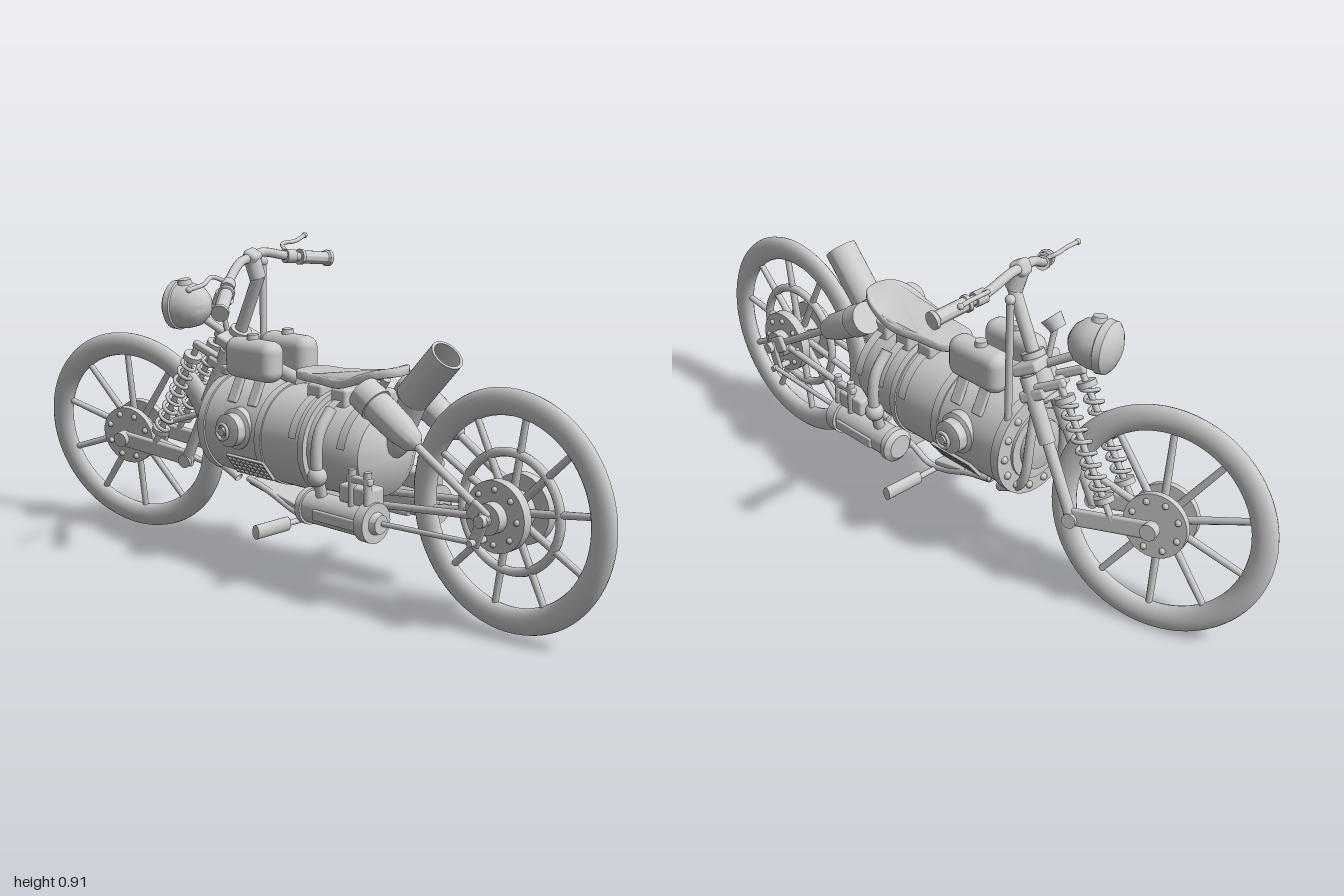
import * as THREE from 'three';
import { toCreasedNormals } from 'three/addons/utils/BufferGeometryUtils.js';
import { RoundedBoxGeometry } from 'three/addons/geometries/RoundedBoxGeometry.js';

const material = new THREE.MeshStandardMaterial({ color: 0xcccccc, side: THREE.DoubleSide });
const V = (x, y, z) => new THREE.Vector3(x, y, z);
const UP = V(0, 1, 0);
const SIDES = [1, -1];

function add(parent, name, geo, x = 0, y = 0, z = 0) {
  const m = new THREE.Mesh(geo, material);
  m.name = name;
  m.position.set(x, y, z);
  parent.add(m);
  return m;
}
function group(parent, name, x = 0, y = 0, z = 0) {
  const g = new THREE.Group();
  g.name = name;
  g.position.set(x, y, z);
  parent.add(g);
  return g;
}
// Straight round bar from a to b
function rod(parent, name, a, b, r, r2 = r, n = 16) {
  const m = add(parent, name, new THREE.CylinderGeometry(r2, r, a.distanceTo(b), n));
  m.position.copy(a).lerp(b, 0.5);
  m.quaternion.setFromUnitVectors(UP, b.clone().sub(a).normalize());
  return m;
}
// Turned part: profile of [radius, distance] running from a towards b
function turned(parent, name, profile, a, b, n = 32) {
  const geo = new THREE.LatheGeometry(profile.map(p => new THREE.Vector2(...p)), n);
  const m = add(parent, name, toCreasedNormals(geo, 0.6), a.x, a.y, a.z);
  m.quaternion.setFromUnitVectors(UP, b.clone().sub(a).normalize());
  return m;
}
const tube = (parent, name, pts, r, seg = 32) =>
  add(parent, name, new THREE.TubeGeometry(new THREE.CatmullRomCurve3(pts), seg, r, 12));
const box = (parent, name, w, h, d, x, y, z, r = 0.008) =>
  add(parent, name, new RoundedBoxGeometry(w, h, d, 3, r), x, y, z);
// Disc whose axis runs along z
const disc = (parent, name, r, w, x, y, z) =>
  add(parent, name, new THREE.CylinderGeometry(r, r, w, 32).rotateX(Math.PI / 2), x, y, z);

function bolts(parent, count, ring, z, r = 0.008) {
  for (let i = 0; i < count; i++) {
    const a = (i / count) * Math.PI * 2;
    add(parent, 'bolt', new THREE.SphereGeometry(r, 8, 6), Math.cos(a) * ring, Math.sin(a) * ring, z);
  }
}

function wheel(parent, name, x, y, z, R) {
  const g = group(parent, name, x, y, z);
  add(g, 'tyre', new THREE.TorusGeometry(R - 0.035, 0.035, 16, 72).scale(1, 1, 0.62));
  disc(g, 'hub', 0.05, 0.08, 0, 0, 0);
  for (let i = 0; i < 10; i++) {
    const a = (i / 10) * Math.PI * 2 + 0.15, c = Math.cos(a), s = Math.sin(a);
    rod(g, 'spoke', V(c * 0.04, s * 0.04, 0), V(c * (R - 0.06), s * (R - 0.06), 0), 0.011, 0.009, 10);
  }
  return g;
}

function rearEnd(bike) {
  const w = wheel(bike, 'rearWheel', 0.687, 0.323, 0, 0.313);
  add(w, 'innerRing', new THREE.TorusGeometry(0.152, 0.012, 10, 56));
  for (const s of SIDES) {
    disc(w, 'drum', 0.092, 0.028, 0, 0, s * 0.05);
    disc(w, 'axleBoss', 0.04, 0.03, 0, 0, s * 0.08);
    disc(w, 'axleCap', 0.016, 0.03, 0, 0, s * 0.112);
    bolts(w, 8, 0.07, s * 0.066);
    const crank = box(w, 'crank', 0.035, 0.09, 0.01, -0.012, -0.028, s * 0.108);
    crank.rotation.z = -0.4;
    rod(w, 'crankPin', V(-0.025, -0.06, s * 0.07), V(-0.025, -0.06, s * 0.13), 0.009);
    // Upper strut: tapered pod and slim rod down to the axle
    const top = V(0.27, 0.575, s * 0.085), axle = V(0.687, 0.323, s * 0.085);
    turned(bike, 'strutPod', [[0, 0], [0.03, 0], [0.04, 0.015], [0.043, 0.08], [0.04, 0.15], [0.03, 0.195], [0.014, 0.215], [0, 0.22]], top, axle);
    turned(bike, 'strutCollar', [[0, -0.005], [0.046, -0.005], [0.047, 0.05], [0.04, 0.05]], top, axle);
    rod(bike, 'strutRod', top.clone().lerp(axle, 0.4), axle, 0.011);
    box(bike, 'strutEnd', 0.06, 0.05, 0.016, 0.665, 0.335, s * 0.1).rotation.z = -0.54;
    rod(bike, 'connectingRod', V(0.34, 0.25, s * 0.12), V(0.662, 0.265, s * 0.12), 0.007);
    rod(bike, 'lowerStay', V(0.2, 0.27, s * 0.07), V(0.687, 0.323, s * 0.07), 0.01);
  }
  // Exhaust stack
  tube(bike, 'exhaustElbow', [V(0.22, 0.42, 0), V(0.3, 0.43, 0), V(0.335, 0.5, 0), V(0.38, 0.59, 0)], 0.038);
  turned(bike, 'exhaustStack', [[0, 0], [0.046, 0], [0.046, 0.17], [0.038, 0.17], [0.038, 0.03], [0, 0.03]], V(0.36, 0.565, 0), V(0.47, 0.685, 0));
}

function boiler(bike) {
  turned(bike, 'boiler', [[0, 0], [0.1, 0], [0.1, 0.008], [0.148, 0.008], [0.148, 0.035], [0.143, 0.035], [0.143, 0.24],
    [0.147, 0.24], [0.147, 0.265], [0.143, 0.265], [0.143, 0.41], [0.148, 0.41], [0.148, 0.43], [0.132, 0.43],
    [0.13, 0.56], [0.115, 0.6], [0.07, 0.63], [0, 0.64]], V(-0.325, 0.4, 0), V(1, 0.4, 0), 48);
  const plate = group(bike, 'frontPlateBolts', -0.317, 0.4, 0);
  plate.rotation.y = -Math.PI / 2;
  bolts(plate, 14, 0.124, 0, 0.011);
  turned(bike, 'fireDoor', [[0, -0.02], [0.03, -0.02], [0.07, -0.01], [0.075, 0.01]], V(-0.325, 0.4, 0), V(1, 0.4, 0));
  for (const x of [0.06, 0.15, 0.24]) {
    const band = add(bike, 'boilerBand', new THREE.CylinderGeometry(0.147, 0.147, 0.028, 40, 1, true, 0.2, 2.74), x, 0.4, 0);
    band.rotation.z = Math.PI / 2;
    band.rotation.order = 'YXZ';
    box(bike, 'seatMount', 0.055, 0.06, 0.12, x, 0.535, 0);
  }
  for (const s of SIDES) {
    // Side valve with hand wheel
    const side = V(-0.16, 0.42, s);
    turned(bike, 'sideValve', [[0.058, 0], [0.058, 0.03], [0.046, 0.035], [0.046, 0.062], [0.025, 0.068], [0.012, 0.068], [0.012, 0.085], [0, 0.085]],
      V(-0.16, 0.42, s * 0.115), V(-0.16, 0.42, s));
    add(bike, 'valveHandWheel', new THREE.TorusGeometry(0.022, 0.005, 8, 24), side.x, side.y, s * 0.195);
    box(bike, 'valveHandle', 0.045, 0.008, 0.008, side.x, side.y, s * 0.195, 0.003);
    // Grille following the lower flank
    const grille = group(bike, 'grille', -0.13, 0.312, s * 0.118);
    grille.rotation.x = s * 0.66;
    for (let i = 0; i < 9; i++) box(grille, 'grilleBar', 0.006, 0.072, 0.01, (i - 4) * 0.018, 0, 0, 0.002);
    for (let i = 0; i < 5; i++) box(grille, 'grilleSlat', 0.15, 0.006, 0.01, 0, (i - 2) * 0.0165, 0, 0.002);
    // Saddle tank with straps
    box(bike, 'saddleTank', 0.19, 0.115, 0.075, -0.165, 0.605, s * 0.067, 0.032);
    for (const x of [-0.205, -0.125]) {
      box(bike, 'tankStrap', 0.035, 0.08, 0.012, x, 0.52, s * 0.098, 0.004).rotation.x = -s * 0.45;
    }
    add(bike, 'fillerCap', new THREE.CylinderGeometry(0.016, 0.018, 0.016, 20), -0.17, 0.667, s * 0.067);
  }
  // Whistle pipe
  rod(bike, 'whistlePipe', V(-0.3, 0.5, -0.095), V(-0.3, 0.85, -0.095), 0.01);
  add(bike, 'whistleCap', new THREE.SphereGeometry(0.014, 16, 10), -0.3, 0.852, -0.095);
}

function engine(bike) {
  const axis = s => [V(0.09, 0.25, s * 0.125), V(1, 0.25, s * 0.125)];
  for (const s of SIDES) {
    turned(bike, 'steamCylinder', [[0, 0], [0.035, 0], [0.05, 0.012], [0.05, 0.03], [0.044, 0.03], [0.044, 0.23], [0.054, 0.23],
      [0.054, 0.262], [0.03, 0.262], [0.025, 0.28], [0, 0.28]], ...axis(s));
    box(bike, 'cylinderLug', 0.15, 0.03, 0.012, 0.24, 0.245, s * 0.168, 0.004);
    box(bike, 'valveChest', 0.11, 0.05, 0.06, 0.29, 0.315, s * 0.115);
    for (const x of [0.28, 0.335]) rod(bike, 'valvePost', V(x, 0.25, s * 0.14), V(x, 0.385, s * 0.14), 0.011);
    box(bike, 'valveYoke', 0.085, 0.02, 0.02, 0.307, 0.36, s * 0.14, 0.006);
    // Steam feed from the boiler to its cylinder
    tube(bike, 'steamPipe', [V(0.165, 0.52, s * 0.1), V(0.165, 0.46, s * 0.145), V(0.165, 0.38, s * 0.155), V(0.165, 0.27, s * 0.13)], 0.016);
    add(bike, 'steamTrap', new THREE.SphereGeometry(0.027, 20, 14), 0.165, 0.345, s * 0.152);
    // Foot rest and belly rails
    rod(bike, 'footRestArm', V(0.02, 0.18, 0), V(0.02, 0.18, s * 0.13), 0.008);
    rod(bike, 'footRest', V(0.02, 0.18, s * 0.12), V(0.02, 0.18, s * 0.24), 0.02).scale.x = 0.65;
    tube(bike, 'bellyRail', [V(-0.2, 0.255, s * 0.06), V(-0.12, 0.235, s * 0.06), V(-0.02, 0.195, s * 0.055), V(0.05, 0.185, s * 0.055), V(0.12, 0.22, s * 0.06), V(0.3, 0.23, s * 0.06)], 0.009);
  }
  box(bike, 'bellyPlate', 0.22, 0.016, 0.12, -0.09, 0.225, 0, 0.004).rotation.z = -0.2;
  box(bike, 'crossMember', 0.05, 0.055, 0.12, 0.16, 0.215, 0);
}

function seat(bike) {
  // Plan outline widening to the rear, then bent up at the tail
  const s = new THREE.Shape();
  s.moveTo(-0.03, 0);
  s.bezierCurveTo(-0.03, 0.07, 0.02, 0.055, 0.08, 0.063);
  s.bezierCurveTo(0.19, 0.09, 0.32, 0.09, 0.32, 0);
  s.bezierCurveTo(0.32, -0.09, 0.19, -0.09, 0.08, -0.063);
  s.bezierCurveTo(0.02, -0.055, -0.03, -0.07, -0.03, 0);
  const geo = new THREE.ExtrudeGeometry(s, { depth: 0.012, bevelThickness: 0.006, bevelSize: 0.005, bevelSegments: 3, curveSegments: 20 });
  geo.rotateX(-Math.PI / 2);
  const p = geo.attributes.position;
  for (let i = 0; i < p.count; i++) {
    const t = Math.max(0, (p.getX(i) - 0.15) / 0.17);
    p.setY(i, p.getY(i) + 0.045 * t * t * (3 - 2 * t));
  }
  add(bike, 'seat', toCreasedNormals(geo, 0.7), 0, 0.575, 0);
  rod(bike, 'seatStay', V(0.2, 0.5, 0), V(0.27, 0.6, 0), 0.012);
}

// Local y runs up the steering axis, -x points ahead
function steering(bike) {
  const g = group(bike, 'steering', -0.35, 0.55, 0);
  g.rotation.set(0, 0.31, -0.47, 'ZYX');
  const w = wheel(g, 'frontWheel', -0.212, -0.366, 0, 0.311);
  for (const s of SIDES) {
    disc(w, 'hubCover', 0.088, 0.02, 0, 0, s * 0.035);
    bolts(w, 8, 0.068, s * 0.046, 0.009);
    disc(w, 'axleCap', 0.022, 0.03, 0, 0, s * 0.075);
    rod(g, 'forkLeg', V(0.005, -0.32, s * 0.065), V(0.005, 0.1, s * 0.05), 0.016);
    rod(g, 'forkSleeve', V(0.005, -0.1, s * 0.06), V(0.005, 0.08, s * 0.052), 0.022);
    const link = box(g, 'leadingLink', 0.26, 0.05, 0.016, -0.1, -0.335, s * 0.065);
    link.rotation.z = 0.3;
    disc(g, 'linkPivot', 0.02, 0.03, 0.005, -0.31, s * 0.068);
    // Coil spring over its damper
    rod(g, 'damper', V(-0.11, -0.33, s * 0.065), V(-0.085, 0.05, s * 0.06), 0.009);
    const coil = [];
    for (let i = 0; i <= 96; i++) {
      const a = (i / 96) * Math.PI * 16, t = i / 96;
      coil.push(V(-0.107 + 0.018 * t + 0.021 * Math.cos(a), -0.26 + 0.26 * t, s * 0.063 + 0.021 * Math.sin(a)));
    }
    add(g, 'coilSpring', new THREE.TubeGeometry(new THREE.CatmullRomCurve3(coil), 200, 0.006, 6));
    for (const y of [-0.27, 0.005]) add(g, 'springCup', new THREE.CylinderGeometry(0.027, 0.027, 0.016, 20), -0.097 + (y < -0.1 ? -0.01 : 0.01), y, s * 0.063);
    box(g, 'springArm', 0.12, 0.025, 0.02, -0.04, 0.045, s * 0.058);
    // Grip, collar and lever
    const inner = V(0.008, 0.322, s * 0.2), outer = V(0.057, 0.315, s * 0.305);
    turned(g, 'grip', [[0, 0], [0.023, 0], [0.023, 0.01], [0.019, 0.012], [0.019, 0.1], [0.024, 0.104], [0.024, 0.115], [0, 0.115]], inner, outer);
    rod(g, 'leverClamp', V(-0.015, 0.324, s * 0.155), V(-0.001, 0.323, s * 0.185), 0.02);
    tube(g, 'lever', [V(-0.015, 0.33, s * 0.165), V(-0.05, 0.335, s * 0.19), V(-0.04, 0.335, s * 0.25), V(-0.045, 0.335, s * 0.315)], 0.006);
    add(g, 'leverBall', new THREE.SphereGeometry(0.009, 12, 8), -0.045, 0.335, s * 0.315);
  }
  tube(g, 'handlebar', [-1, -0.75, -0.3, 0, 0.3, 0.75, 1].map(t => {
    const k = Math.abs(t);
    return V(k < 0.5 ? -0.045 : k < 0.9 ? -0.018 : 0.008, k < 0.5 ? 0.347 : k < 0.9 ? 0.327 : 0.322, t * 0.2);
  }), 0.013, 48);
  box(g, 'upperYoke', 0.075, 0.03, 0.14, 0, 0.1, 0);
  box(g, 'lowerYoke', 0.075, 0.03, 0.15, 0, 0.03, 0);
  rod(g, 'riser', V(0, 0.1, 0), V(-0.005, 0.31, 0), 0.018);
  rod(g, 'riserNeck', V(-0.005, 0.3, 0), V(-0.042, 0.345, 0), 0.024);
  box(g, 'barClamp', 0.045, 0.045, 0.05, -0.043, 0.347, 0, 0.014);
  // Headlamp, held level ahead of the yokes
  const lamp = group(g, 'headlamp', -0.185, 0.11, 0.01);
  lamp.rotation.z = 0.47;
  turned(lamp, 'lampShell', [[0, -0.06], [0.035, -0.055], [0.058, -0.045], [0.07, -0.035], [0.072, -0.015], [0.067, -0.012], [0.066, 0.015],
    [0.058, 0.045], [0.04, 0.066], [0.018, 0.078], [0, 0.08]], V(0, 0, 0), V(1, 0, 0));
  add(lamp, 'lampVent', new THREE.CylinderGeometry(0.018, 0.022, 0.014, 16), 0.005, 0.07, 0);
  rod(g, 'lampBracket', V(-0.15, 0.1, 0), V(0, 0.09, 0), 0.012);
  rod(g, 'gauge', V(-0.085, 0.17, 0.015), V(-0.075, 0.205, 0.015), 0.022, 0.03, 24);
  rod(g, 'gaugeStem', V(-0.03, 0.1, 0.01), V(-0.08, 0.18, 0.015), 0.008);
}

function headFrame(bike) {
  rod(bike, 'steeringHead', V(-0.35, 0.55, 0), V(-0.29, 0.667, 0), 0.032);
  rod(bike, 'topTube', V(-0.315, 0.61, 0), V(-0.05, 0.55, 0), 0.02);
  for (const s of SIDES) {
    tube(bike, 'downTube', [V(-0.335, 0.57, s * 0.02), V(-0.35, 0.46, s * 0.06), V(-0.33, 0.31, s * 0.07), V(-0.24, 0.25, s * 0.06)], 0.013);
  }
}

export function createModel() {
  const model = new THREE.Group();
  model.name = 'steamMotorcycle';
  const bike = group(model, 'bike', 0, 0, -0.02);
  for (const build of [boiler, engine, seat, rearEnd, headFrame, steering]) build(bike);
  return model;
}
